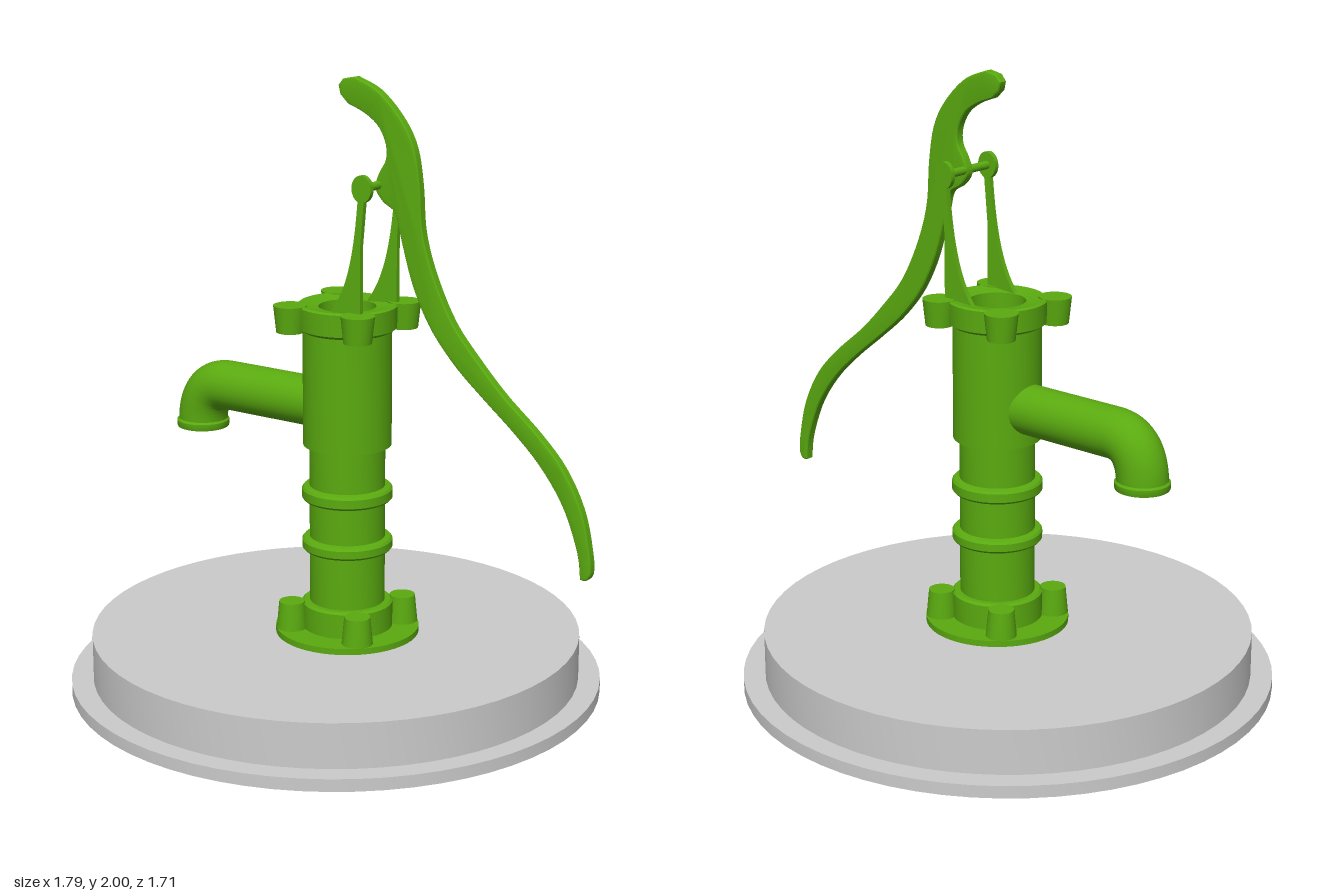
import * as THREE from 'three';
import { toCreasedNormals } from 'three/addons/utils/BufferGeometryUtils.js';

const V2 = (p) => new THREE.Vector2(p[0], p[1]);
const green = new THREE.MeshStandardMaterial({ color: 0x5aaa10 });
const grey = new THREE.MeshStandardMaterial({ color: 0xcccccc });

export function createModel() {
  const model = new THREE.Group();

  const add = (name, geometry, material = green, x = 0, y = 0, z = 0, parent = model) => {
    const mesh = new THREE.Mesh(toCreasedNormals(geometry, 0.6), material);
    mesh.name = name;
    mesh.position.set(x, y, z);
    parent.add(mesh);
    return mesh;
  };
  const lathe = (points, segments = 48) => new THREE.LatheGeometry(points.map(V2), segments);

  // Round stone base with a low rim
  add('base', lathe([
    [0, 0], [0.785, 0], [0.785, 0.03], [0.855, 0.03], [0.855, 0.07],
    [0.785, 0.07], [0.785, 0.215], [0, 0.215],
  ], 64), grey, -0.045);

  // Foot plate, column, two bands, wide barrel and open top in one profile
  const band = (y0, y1) => [
    [0.12, y0 - 0.004], [0.138, y0], [0.144, y0 + 0.007],
    [0.144, y1 - 0.007], [0.138, y1], [0.12, y1 + 0.004],
  ];
  add('pumpBody', lathe([
    [0, 0.21], [0.23, 0.21], [0.23, 0.235], [0.145, 0.235], [0.145, 0.315], [0.137, 0.322], [0.12, 0.322],
    ...band(0.495, 0.533), ...band(0.66, 0.702),
    [0.12, 0.84], [0.14, 0.84], [0.14, 1.21], [0.155, 1.22], [0.157, 1.29], [0.15, 1.295],
    [0.09, 1.285], [0.09, 1.15], [0, 1.15],
  ]));

  // Bolt lugs on the diagonals of both collars
  const lugRing = (name, y, height, rTop, rBottom) => {
    const ring = new THREE.Group();
    ring.name = name;
    for (let i = 0; i < 4; i++) {
      const a = Math.PI / 4 + i * Math.PI / 2;
      add('lug', new THREE.CylinderGeometry(rTop, rBottom, height, 24), green,
        Math.cos(a) * 0.18, y + height / 2, Math.sin(a) * 0.18, ring);
    }
    model.add(ring);
  };
  lugRing('footLugs', 0.23, 0.093, 0.041, 0.05);
  lugRing('topLugs', 1.21, 0.085, 0.053, 0.044);

  // Spout: straight pipe with an elbow
  const path = new THREE.CurvePath();
  const v3 = (x, y) => new THREE.Vector3(x, y, 0);
  path.add(new THREE.LineCurve3(v3(-0.09, 0.957), v3(-0.47, 0.957)));
  path.add(new THREE.CubicBezierCurve3(v3(-0.47, 0.957), v3(-0.53, 0.957), v3(-0.578, 0.92), v3(-0.58, 0.82)));
  add('spoutPipe', new THREE.TubeGeometry(path, 60, 0.08, 32, false));
  add('spoutLip', lathe([
    [0, 0.03], [0.062, 0.03], [0.062, 0], [0.084, 0], [0.086, 0.005], [0.086, 0.022], [0.08, 0.028], [0.062, 0.03],
  ], 36), green, -0.58, 0.805);

  // Two brackets with rounded heads, carrying the pivot pin
  const bracket = new THREE.Shape();
  bracket.moveTo(0.01, 1.285);
  bracket.lineTo(0.122, 1.285);
  bracket.lineTo(0.122, 1.5);
  bracket.lineTo(0.135, 1.64);
  bracket.absellipse(0.125, 1.68, 0.035, 0.042, -1.2, Math.PI + 1.2, false);
  bracket.bezierCurveTo(0.1, 1.5, 0.08, 1.37, 0.01, 1.285);
  for (const side of [-1, 1]) {
    add(side > 0 ? 'frontBracket' : 'backBracket',
      new THREE.ExtrudeGeometry(bracket, { depth: 0.016, bevelEnabled: false, curveSegments: 16 }),
      green, 0, 0, side * 0.1 - 0.008);
  }
  const pin = add('pivotPin', new THREE.CylinderGeometry(0.013, 0.013, 0.21, 20), green, 0.125, 1.68);
  pin.rotation.x = Math.PI / 2;

  // Swept lever: outer edge down to the grip, inner edge back up to the head
  const outer = [
    [0.035, 2.0], [0.12, 1.965], [0.2, 1.89], [0.25, 1.805], [0.272, 1.69], [0.284, 1.55],
    [0.325, 1.42], [0.395, 1.285], [0.485, 1.18], [0.58, 1.085], [0.7, 0.985], [0.79, 0.89],
    [0.855, 0.77], [0.886, 0.64], [0.889, 0.585],
  ];
  const inner = [
    [0.855, 0.565], [0.842, 0.65], [0.79, 0.78], [0.71, 0.89], [0.615, 0.98], [0.51, 1.065],
    [0.405, 1.155], [0.315, 1.26], [0.25, 1.385], [0.205, 1.53], [0.185, 1.6], [0.14, 1.63],
    [0.112, 1.67], [0.125, 1.715], [0.15, 1.76], [0.148, 1.81], [0.12, 1.86], [0.07, 1.895],
    [0.01, 1.918],
  ];
  const lever = new THREE.Shape();
  lever.moveTo(...outer[0]);
  lever.splineThru(outer.slice(1).map(V2));
  lever.quadraticCurveTo(0.88, 0.555, ...inner[0]);
  lever.splineThru(inner.slice(1).map(V2));
  lever.bezierCurveTo(-0.04, 1.95, -0.04, 2.0, ...outer[0]);
  add('handle', new THREE.ExtrudeGeometry(lever, {
    depth: 0.024, steps: 1, curveSegments: 4,
    bevelSize: 0.01, bevelThickness: 0.005, bevelOffset: -0.01, bevelSegments: 2,
  }), green, 0, 0, -0.012);

  return model;
}
